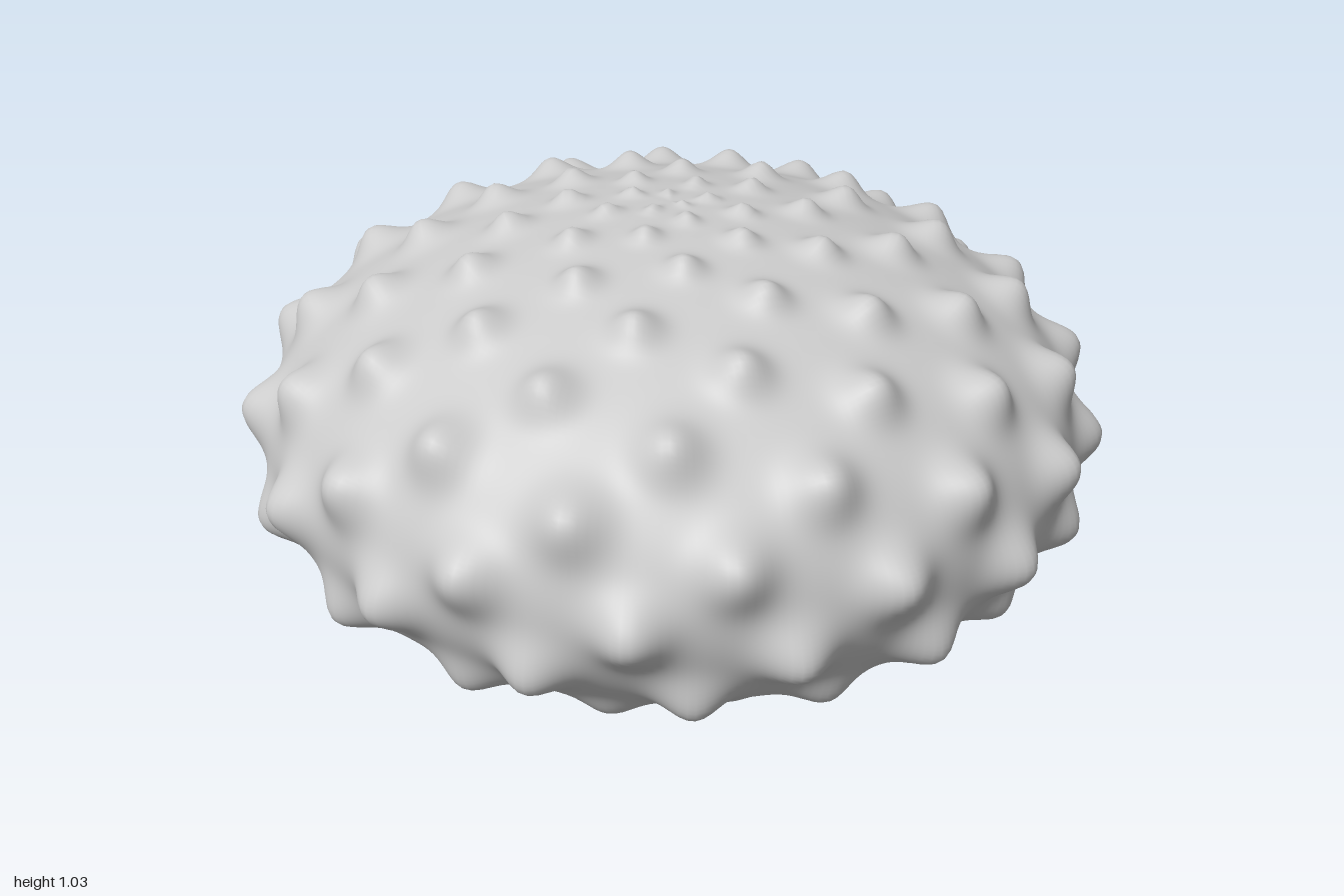
import * as THREE from 'three';
import { mergeVertices } from 'three/addons/utils/BufferGeometryUtils.js';

const RADIUS = 0.935, HALF_HEIGHT = 0.51, CENTRE_Y = 0.502;
const HOLE_ANGLE = Math.PI - Math.asin(0.16 / RADIUS);
const GOLDEN = Math.PI * (3 - Math.sqrt(5));

// Point on the flattened shell: polar is measured from the top, around from +x towards +z
function shellPoint(polar, around) {
  const r = RADIUS * Math.sin(polar);
  return new THREE.Vector3(
    r * Math.cos(around),
    CENTRE_Y + HALF_HEIGHT * Math.cos(polar),
    r * Math.sin(around));
}

// Knobs on a golden-angle spiral, smaller near the top and fading out underneath
function makeKnobs() {
  const knobs = [];
  for (let n = -28; n < 115; n++) {
    const polar = 1.575 + 0.0181 * (n - 59);
    if (polar < 0.02) continue;
    const size = Math.sqrt(Math.sin(polar));
    const fade = 1 - THREE.MathUtils.smoothstep(polar, 1.85, 2.6);
    knobs.push({
      at: shellPoint(polar, THREE.MathUtils.degToRad(53.5) - n * GOLDEN),
      height: 0.063 * size * fade,
      width: 0.048 * size,
    });
  }
  return knobs;
}

function makeShell() {
  // Profile from the rim of the bottom hole up to the top
  const rings = 170, profile = [];
  for (let i = 0; i <= rings; i++) {
    const polar = HOLE_ANGLE * (1 - i / rings);
    profile.push(new THREE.Vector2(
      RADIUS * Math.sin(polar),
      CENTRE_Y + HALF_HEIGHT * Math.cos(polar)));
  }
  let geometry = new THREE.LatheGeometry(profile, 340);
  geometry.deleteAttribute('uv');
  geometry.deleteAttribute('normal');
  geometry = mergeVertices(geometry, 1e-5);

  // Push the surface outwards at each knob
  const knobs = makeKnobs();
  const pos = geometry.attributes.position;
  const p = new THREE.Vector3(), normal = new THREE.Vector3();
  for (let i = 0; i < pos.count; i++) {
    p.fromBufferAttribute(pos, i);
    let lift = 0;
    for (const k of knobs) {
      const d2 = p.distanceToSquared(k.at) / (k.width * k.width);
      if (d2 < 16) lift += k.height * Math.exp(-d2 / 2);
    }
    normal.set(
      p.x / RADIUS ** 2,
      (p.y - CENTRE_Y) / HALF_HEIGHT ** 2,
      p.z / RADIUS ** 2).normalize();
    p.addScaledVector(normal, lift);
    pos.setXYZ(i, p.x, p.y, p.z);
  }
  geometry.computeVertexNormals();
  return geometry;
}

export function createModel() {
  const group = new THREE.Group();
  group.name = 'urchinShell';
  // Thin hollow shell, open at the bottom
  const shell = new THREE.Mesh(
    makeShell(),
    new THREE.MeshStandardMaterial({ color: 0xcccccc, side: THREE.DoubleSide }));
  shell.name = 'knobbedShell';
  group.add(shell);
  return group;
}
